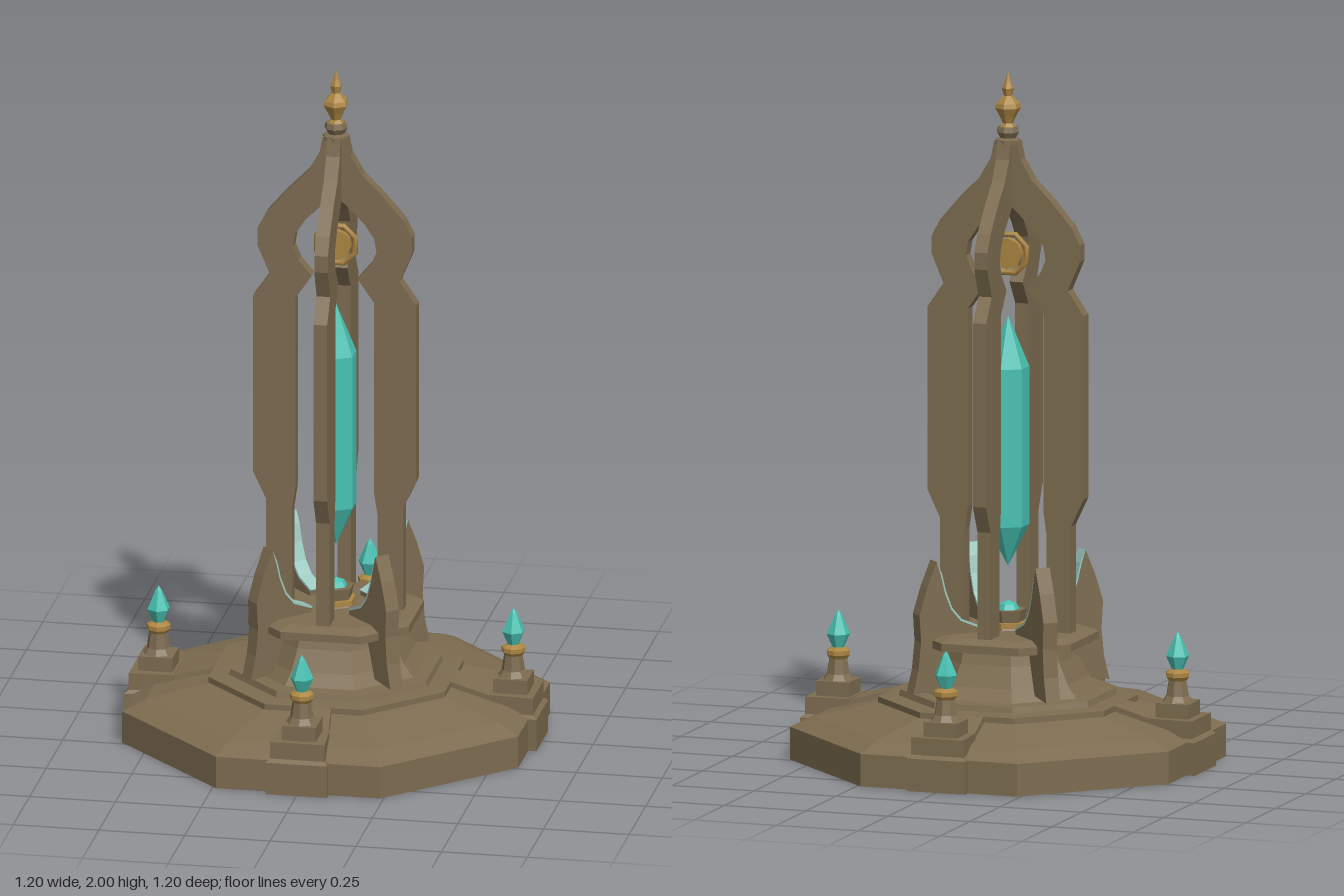
import * as THREE from 'three';

const mat = (name, color) => {
  const m = new THREE.MeshStandardMaterial({ color, side: THREE.DoubleSide });
  m.name = name;
  return m;
};

// Joins closed rings (counter-clockwise from above) with flat faces, optionally closing the top
function loft(rings, cap = true) {
  const pos = [];
  const tri = (...pts) => pts.forEach((p) => pos.push(...p));
  for (let k = 0; k + 1 < rings.length; k++) {
    const lo = rings[k], hi = rings[k + 1];
    for (let i = 0; i < lo.length; i++) {
      const j = (i + 1) % lo.length;
      tri(lo[i], lo[j], hi[j]);
      tri(lo[i], hi[j], hi[i]);
    }
  }
  const top = rings[rings.length - 1];
  if (cap) for (let i = 1; i + 1 < top.length; i++) tri(top[0], top[i], top[i + 1]);
  const g = new THREE.BufferGeometry();
  g.setAttribute('position', new THREE.Float32BufferAttribute(pos, 3));
  g.computeVertexNormals();
  return g;
}

// Octagon ring with flat sides facing the axes
function octagon(a, y, ratio = 0.414) {
  const h = a * ratio;
  return [[a, h], [a, -h], [h, -a], [-h, -a], [-a, -h], [-a, h], [-h, a], [h, a]].map(([x, z]) => [x, y, z]);
}

// Trapezoid ring pointing along +x
const wedge = (r0, w0, r1, w1, y) => [[r1, y, w1], [r1, y, -w1], [r0, y, -w0], [r0, y, w0]];

// Flat upright slab with an outline in (radius, height)
function slab(points, thickness) {
  const shape = new THREE.Shape(points.map(([x, y]) => new THREE.Vector2(x, y)));
  return new THREE.ExtrudeGeometry(shape, { depth: thickness, bevelEnabled: false }).translate(0, 0, -thickness / 2);
}

// Turned six-sided part, faceted
function turned(points, sides = 6) {
  const g = new THREE.LatheGeometry(points.map(([x, y]) => new THREE.Vector2(x, y)), sides).toNonIndexed();
  g.computeVertexNormals();
  return g;
}

export function createModel() {
  const model = new THREE.Group();
  model.name = 'crystalShrine';
  const stone = mat('stone', 0x7d6c50);
  const crystal = mat('crystal', 0x48c2b3);
  const gold = mat('gold', 0xac8643);
  const glow = mat('paleCrystal', 0x9cc9c1);

  const add = (parent, name, geometry, material) => {
    const mesh = new THREE.Mesh(geometry, material);
    mesh.name = name;
    parent.add(mesh);
    return mesh;
  };

  // Hollow octagonal base with stepped top
  add(model, 'base', loft([
    octagon(0.578, 0), octagon(0.578, 0.095), octagon(0.515, 0.125),
    octagon(0.345, 0.165), octagon(0.345, 0.182), octagon(0.29, 0.185),
    octagon(0.285, 0.202), octagon(0.245, 0.205),
  ], false), stone);

  // Flared pedestal and its cap
  add(model, 'pedestal', loft([
    octagon(0.245, 0.205), octagon(0.215, 0.24), octagon(0.185, 0.3), octagon(0.17, 0.345),
  ], false), stone);
  add(model, 'pedestalCap', loft([
    octagon(0.17, 0.338, 0.5), octagon(0.235, 0.342, 0.5), octagon(0.235, 0.365, 0.5), octagon(0.2, 0.378, 0.5),
  ]), stone);

  // Socket below the crystal
  add(model, 'socket', turned([[0.055, 0.375], [0.045, 0.39], [0.055, 0.435], [0.035, 0.435]]), stone);
  add(model, 'socketRing', turned([[0.06, 0.385], [0.06, 0.4], [0.045, 0.4]]), gold);
  add(model, 'socketGem', turned([[0.036, 0.43], [0.025, 0.45], [0, 0.46]]), crystal);

  // Main crystal
  add(model, 'mainCrystal', turned([[0, 0.56], [0.062, 0.68], [0.062, 1.14], [0, 1.29]]), crystal);

  const pillarOutline = [
    [0.2, 0.36], [0.2, 0.69], [0.238, 0.77], [0.238, 1.305], [0.19, 1.375],
    [0.207, 1.415], [0.226, 1.46], [0.226, 1.51], [0.2, 1.56], [0.14, 1.63], [0.08, 1.69],
    [0.045, 1.75], [0.035, 1.8], [0, 1.8], [0, 1.625], [0.035, 1.595], [0.085, 1.545], [0.115, 1.5],
    [0.122, 1.46], [0.105, 1.42], [0.067, 1.375], [0.115, 1.305], [0.115, 0.73],
    [0.125, 0.66], [0.125, 0.36],
  ];
  const clawInner = [[0.235, 0.592], [0.222, 0.55], [0.21, 0.5], [0.19, 0.45], [0.16, 0.415], [0.1, 0.39]];
  const clawOutline = [
    ...clawInner, [0.1, 0.37], [0.19, 0.34], [0.23, 0.22],
    [0.31, 0.21], [0.293, 0.28], [0.285, 0.36], [0.29, 0.44], [0.265, 0.52],
  ];
  const clawFace = [
    ...clawInner,
    ...clawInner.slice(1).reverse().map(([x, y]) => [x - 0.004, y + 0.005]),
  ];

  for (let i = 0; i < 4; i++) {
    // Arched pillars on the axes
    const side = new THREE.Group();
    side.name = 'side' + (i + 1);
    side.rotation.y = (i * Math.PI) / 2;
    model.add(side);
    add(side, 'pillar', slab(pillarOutline, 0.04), stone);

    // Pier with ramp towards the pedestal
    add(side, 'pierFoot', loft([
      wedge(0.46, 0.075, 0.602, 0.09, 0), wedge(0.46, 0.075, 0.602, 0.09, 0.095),
      wedge(0.46, 0.07, 0.59, 0.08, 0.105), wedge(0.46, 0.07, 0.59, 0.08, 0.155),
    ]), stone);
    add(side, 'pierRamp', loft([
      wedge(0.345, 0.055, 0.47, 0.072, 0.1),
      [[0.47, 0.15, 0.068], [0.47, 0.15, -0.068], [0.343, 0.182, -0.052], [0.343, 0.182, 0.052]],
    ]), stone);

    // Small lamp standing on the pier
    const lamp = new THREE.Group();
    lamp.name = 'lamp';
    lamp.position.x = 0.518;
    side.add(lamp);
    add(lamp, 'lampPlinth', new THREE.BoxGeometry(0.1, 0.045, 0.1).translate(0, 0.175, 0), stone);
    add(lamp, 'lampPost', turned([[0.046, 0.197], [0.034, 0.215], [0.027, 0.26]], 8), stone);
    add(lamp, 'lampCollar', turned([[0.024, 0.255], [0.035, 0.27], [0.035, 0.283], [0.018, 0.292]], 8), gold);
    add(lamp, 'lampGem', turned([[0.012, 0.28], [0.034, 0.33], [0.01, 0.385], [0, 0.4]]), crystal);

    // Curved claws on the diagonals, with glowing inner faces
    const corner = new THREE.Group();
    corner.name = 'corner' + (i + 1);
    corner.rotation.y = Math.PI / 4 + (i * Math.PI) / 2;
    model.add(corner);
    add(corner, 'claw', slab(clawOutline, 0.045), stone);
    add(corner, 'clawInnerFace', slab(clawFace, 0.044), glow);
  }

  // Round emblem hanging in the arch
  const ring = add(model, 'emblemRing', new THREE.TorusGeometry(0.06, 0.009, 6, 8), gold);
  ring.position.y = 1.47;
  ring.rotation.z = Math.PI / 8;
  const disc = add(model, 'emblemDisc', new THREE.CylinderGeometry(0.046, 0.046, 0.02, 8), gold);
  disc.position.y = 1.47;
  disc.rotation.x = Math.PI / 2;

  // Finial on the peak
  add(model, 'finialBase', turned([[0.038, 1.79], [0.038, 1.803], [0.024, 1.808], [0.034, 1.825], [0.03, 1.84], [0, 1.84]], 8), stone);
  add(model, 'finial', turned([
    [0.025, 1.838], [0.015, 1.85], [0.024, 1.87], [0.038, 1.895], [0.034, 1.908],
    [0.012, 1.93], [0.018, 1.952], [0.01, 1.97], [0, 2],
  ]), gold);

  return model;
}
